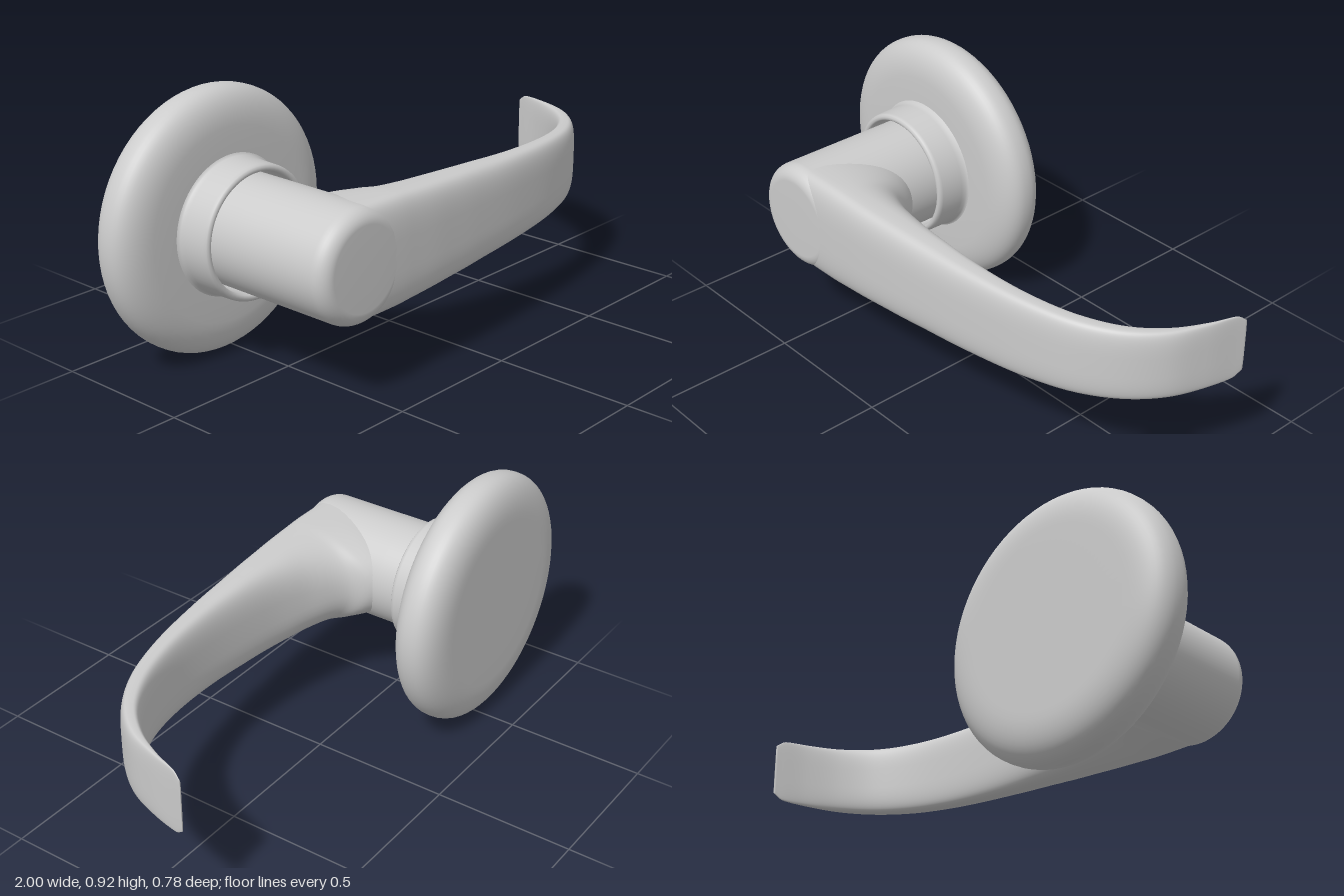
import * as THREE from 'three';

const AXIS_X = -0.54, AXIS_Y = 0.463;
const material = new THREE.MeshStandardMaterial({ color: 0xcccccc });

// Revolve [radius, z] points (back to front) around the spindle axis
function turned(name, points) {
  const geo = new THREE.LatheGeometry(points.map(([r, z]) => new THREE.Vector2(r, z)), 72);
  geo.rotateX(Math.PI / 2);
  geo.translate(AXIS_X, AXIS_Y, 0);
  const mesh = new THREE.Mesh(geo, material);
  mesh.name = name;
  return mesh;
}

// Round wall plate with a fully rounded rim
function makeRose() {
  const pts = [[0, -0.39], [0.2, -0.39]];
  for (let i = 0; i <= 24; i++) {
    const a = -Math.PI / 2 + (Math.PI * i) / 24;
    const s = Math.sin(a);
    pts.push([0.308 + 0.15 * Math.pow(Math.max(Math.cos(a), 0), 0.85),
      -0.298 + 0.092 * Math.sign(s) * Math.pow(Math.abs(s), 0.85)]);
  }
  pts.push([0.26, -0.204], [0.2, -0.204], [0, -0.204]);
  return turned('rose', pts);
}

// Collar with a narrow groove around the neck
function makeCollar() {
  return turned('collar', [
    [0.25, -0.207], [0.24, -0.203], [0.235, -0.195], [0.232, -0.18], [0.23, -0.095],
    [0.227, -0.084], [0.22, -0.079], [0.212, -0.079], [0.207, -0.083],
    [0.205, -0.09], [0.205, -0.19], [0.18, -0.19],
  ]);
}

// Round neck with a softened front edge
function makeNeck() {
  const pts = [[0.193, -0.2], [0.193, 0], [0.193, 0.2]];
  for (let i = 0; i <= 8; i++) {
    const a = (Math.PI / 2) * (i / 8);
    pts.push([0.143 + 0.05 * Math.cos(a), 0.333 + 0.055 * Math.sin(a)]);
  }
  pts.push([0.07, 0.389], [0, 0.389]);
  return turned('neck', pts);
}

// Lever stations: inner x, z, outer x, z, half height, squareness of the inner side
const STATIONS = [
  [-0.54, -0.05, -0.54, 0.387, 0.19, 2],
  [-0.42, -0.04, -0.44, 0.388, 0.19, 2],
  [-0.345, 0.02, -0.36, 0.388, 0.189, 2],
  [-0.3, 0.09, -0.3, 0.387, 0.186, 2.1],
  [-0.2, 0.15, -0.2, 0.385, 0.181, 2.4],
  [-0.1, 0.187, -0.1, 0.38, 0.176, 2.8],
  [0.03, 0.215, 0.03, 0.372, 0.17, 3],
  [0.27, 0.235, 0.27, 0.35, 0.157, 3.2],
  [0.5, 0.222, 0.53, 0.308, 0.145, 3.4],
  [0.67, 0.18, 0.71, 0.25, 0.136, 3.5],
  [0.8, 0.11, 0.84, 0.165, 0.129, 3.5],
  [0.89, 0.015, 0.925, 0.06, 0.125, 3.5],
  [0.95, -0.09, 0.968, -0.06, 0.122, 3.5],
  [0.983, -0.175, 0.992, -0.17, 0.117, 3.5],
  [0.994, -0.205, 1.0, -0.205, 0.095, 3.5],
];

// Lever lofted through superellipse sections spanning the inner and outer curves
function makeLever() {
  const curve = (f) => new THREE.CatmullRomCurve3(STATIONS.map(f));
  const inner = curve((s) => new THREE.Vector3(s[0], AXIS_Y, s[1]));
  const outer = curve((s) => new THREE.Vector3(s[2], AXIS_Y, s[3]));
  const shape = curve((s, i) => new THREE.Vector3(s[4], s[5], i));
  const ROWS = 84, RING = 56, pos = [], index = [];
  const power = (v, e) => Math.sign(v) * Math.pow(Math.abs(v), 2 / e);

  for (let i = 0; i <= ROWS + 1; i++) {
    const t = Math.min(i / ROWS, 1);
    const size = i > ROWS ? 0 : 1; // last row closes the tip
    const a = inner.getPoint(t), b = outer.getPoint(t), { x: h, y: e } = shape.getPoint(t);
    const depth = a.distanceTo(b);
    const dir = b.clone().sub(a).normalize();
    const front = Math.min(0.07, depth / 2), back = depth - front;
    const mid = b.clone().addScaledVector(dir, -front);
    for (let j = 0; j < RING; j++) {
      const ang = (j / RING) * Math.PI * 2, c = Math.cos(ang), s = Math.sin(ang);
      const ex = c > 0 ? 3.5 : e;
      const d = power(c, ex) * (c > 0 ? front : back) * size;
      pos.push(mid.x + dir.x * d, AXIS_Y + power(s, ex) * h * size, mid.z + dir.z * d);
    }
  }
  for (let i = 0; i <= ROWS; i++) {
    for (let j = 0; j < RING; j++) {
      const k = (j + 1) % RING;
      const p = i * RING + j, q = p + RING, r = i * RING + k, u = r + RING;
      index.push(p, q, r, q, u, r);
    }
  }
  const geo = new THREE.BufferGeometry();
  geo.setAttribute('position', new THREE.Float32BufferAttribute(pos, 3));
  geo.setIndex(index);
  geo.computeVertexNormals();
  const mesh = new THREE.Mesh(geo, material);
  mesh.name = 'lever';
  return mesh;
}

export function createModel() {
  const group = new THREE.Group();
  group.name = 'doorHandle';
  group.add(makeRose(), makeCollar(), makeNeck(), makeLever());
  return group;
}
